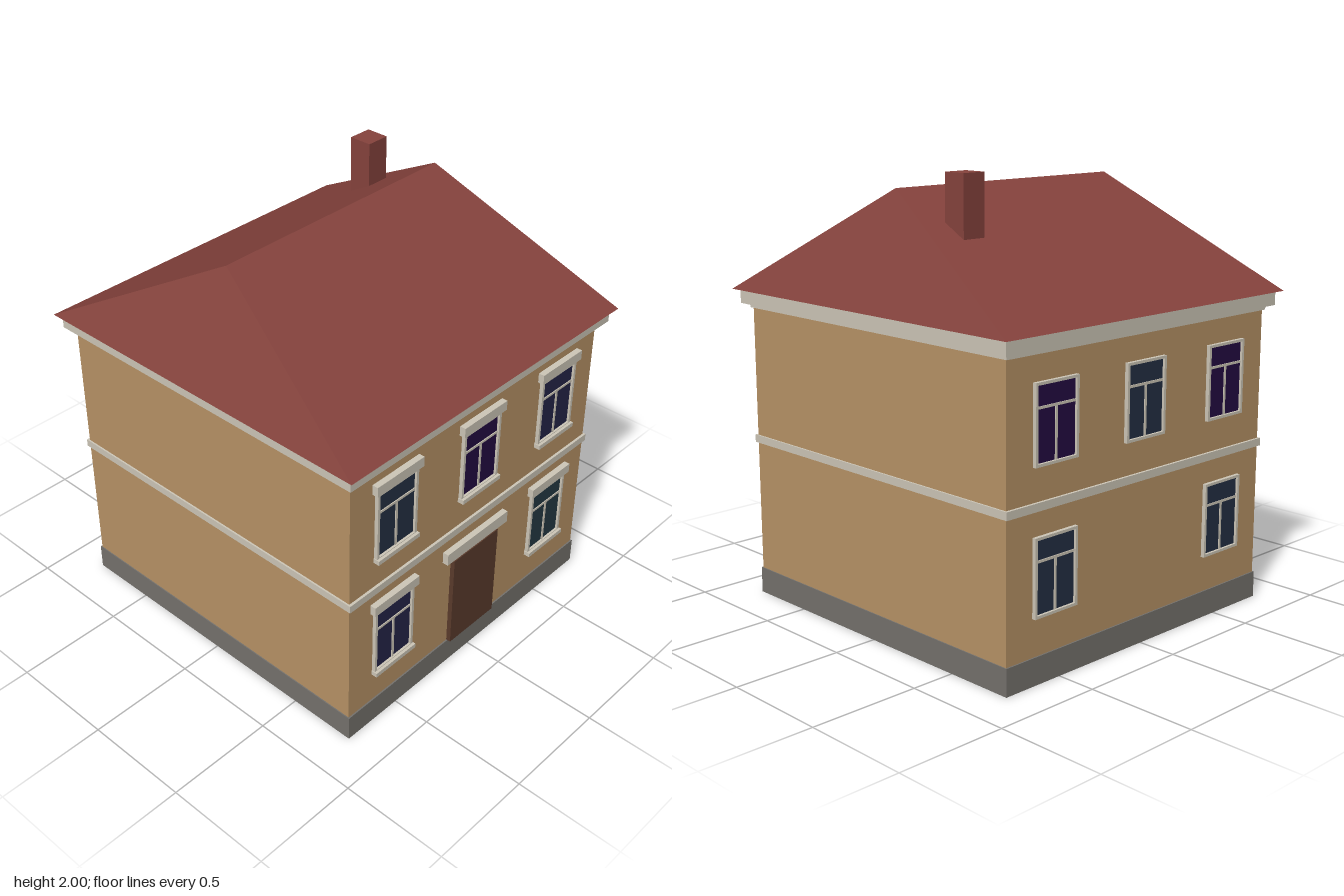
import * as THREE from 'three';

const mat = (name, color) => {
  const m = new THREE.MeshStandardMaterial({ color });
  m.name = name;
  return m;
};

export function createModel() {
  const house = new THREE.Group();
  house.name = 'house';

  const wall = mat('ochre plaster', 0xb89366);
  const trim = mat('pale stone', 0xcec7b8);
  const stone = mat('grey plinth', 0x75726d);
  const roofRed = mat('red roof', 0x86433d);
  const wood = mat('brown door', 0x5b3b2c);
  const purple = mat('purple glass', 0x230b43);
  const navy = mat('navy glass', 0x242448);
  const blue = mat('blue glass', 0x243044);
  const teal = mat('teal glass', 0x243944);

  // Box given by its limits on each axis
  function box(parent, name, material, [x0, x1], [y0, y1], [z0, z1]) {
    const mesh = new THREE.Mesh(new THREE.BoxGeometry(x1 - x0, y1 - y0, z1 - z0), material);
    mesh.position.set((x0 + x1) / 2, (y0 + y1) / 2, (z0 + z1) / 2);
    mesh.name = name;
    parent.add(mesh);
    return mesh;
  }
  const slab = (name, material, hx, hz, y0, y1) =>
    box(house, name, material, [-hx, hx], [y0, y1], [-hz, hz]);

  // Body and horizontal bands
  slab('plinth', stone, 0.8, 0.82, 0, 0.12);
  slab('walls', wall, 0.795, 0.813, 0.12, 1.38);
  slab('beltCourse', trim, 0.803, 0.825, 0.725, 0.76);
  slab('lowerCornice', trim, 0.803, 0.825, 1.35, 1.375);
  slab('upperCornice', trim, 0.835, 0.853, 1.37, 1.434);

  // Hipped roof: a box whose top is pinched into a ridge
  const roofGeo = new THREE.BoxGeometry(1.72, 0.49, 1.76).toNonIndexed();
  const p = roofGeo.attributes.position;
  for (let i = 0; i < p.count; i++) {
    if (p.getY(i) > 0) {
      p.setX(i, Math.sign(p.getX(i)) * 0.635);
      p.setZ(i, 0);
    }
  }
  roofGeo.computeVertexNormals();
  const roof = new THREE.Mesh(roofGeo, roofRed);
  roof.name = 'roof';
  roof.position.y = 1.434 + 0.245;
  house.add(roof);

  box(house, 'chimney', roofRed, [0.455, 0.57], [1.65, 2], [-0.34, -0.23]);

  // Window built in the local plane z = 0, with its foot at y = 0
  function makeWindow(name, glass, ornate) {
    const w = new THREE.Group();
    w.name = name;
    box(w, 'glass', glass, [-0.11, 0.11], [0.01, 0.325], [0, 0.006]);
    for (const s of [-1, 1]) {
      const a = 0.108 * s, b = 0.121 * s;
      box(w, 'frameSide', trim, [Math.min(a, b), Math.max(a, b)], [0, 0.336], [0, 0.017]);
    }
    box(w, 'frameTop', trim, [-0.108, 0.108], [0.324, 0.336], [0, 0.017]);
    box(w, 'frameBottom', trim, [-0.108, 0.108], [0, 0.012], [0, 0.017]);
    box(w, 'transom', trim, [-0.108, 0.108], [0.228, 0.239], [0, 0.01]);
    box(w, 'mullion', trim, [-0.006, 0.006], [0.012, 0.23], [0, 0.01]);
    if (ornate) {
      box(w, 'lintel', trim, [-0.138, 0.138], [0.34, 0.386], [0, 0.028]);
      box(w, 'lintelFoot', trim, [-0.126, 0.126], [0.33, 0.342], [0, 0.02]);
      box(w, 'sill', trim, [-0.125, 0.125], [-0.012, 0.009], [0, 0.03]);
    }
    return w;
  }

  // Rows of windows: [x, y, glass]
  const upper = 0.904, lower = 0.284, dx = 0.53;
  const front = [
    [-dx, upper, blue], [0, upper, purple], [dx, upper, navy],
    [-dx, lower, navy], [dx, lower, teal],
  ];
  const back = [
    [-dx, upper, purple], [0, upper, blue], [dx, upper, purple],
    [-dx, lower, blue], [dx, lower, blue],
  ];
  for (const [x, y, glass] of front) {
    const w = makeWindow('frontWindow', glass, true);
    w.position.set(x, y, 0.813);
    house.add(w);
  }
  for (const [x, y, glass] of back) {
    const w = makeWindow('backWindow', glass, false);
    w.position.set(x, y, -0.813);
    w.rotation.y = Math.PI;
    house.add(w);
  }

  // Entrance
  box(house, 'door', wood, [-0.15, 0.15], [0.12, 0.59], [0.81, 0.835]);
  box(house, 'doorLintel', trim, [-0.205, 0.205], [0.606, 0.663], [0.81, 0.841]);

  return house;
}
